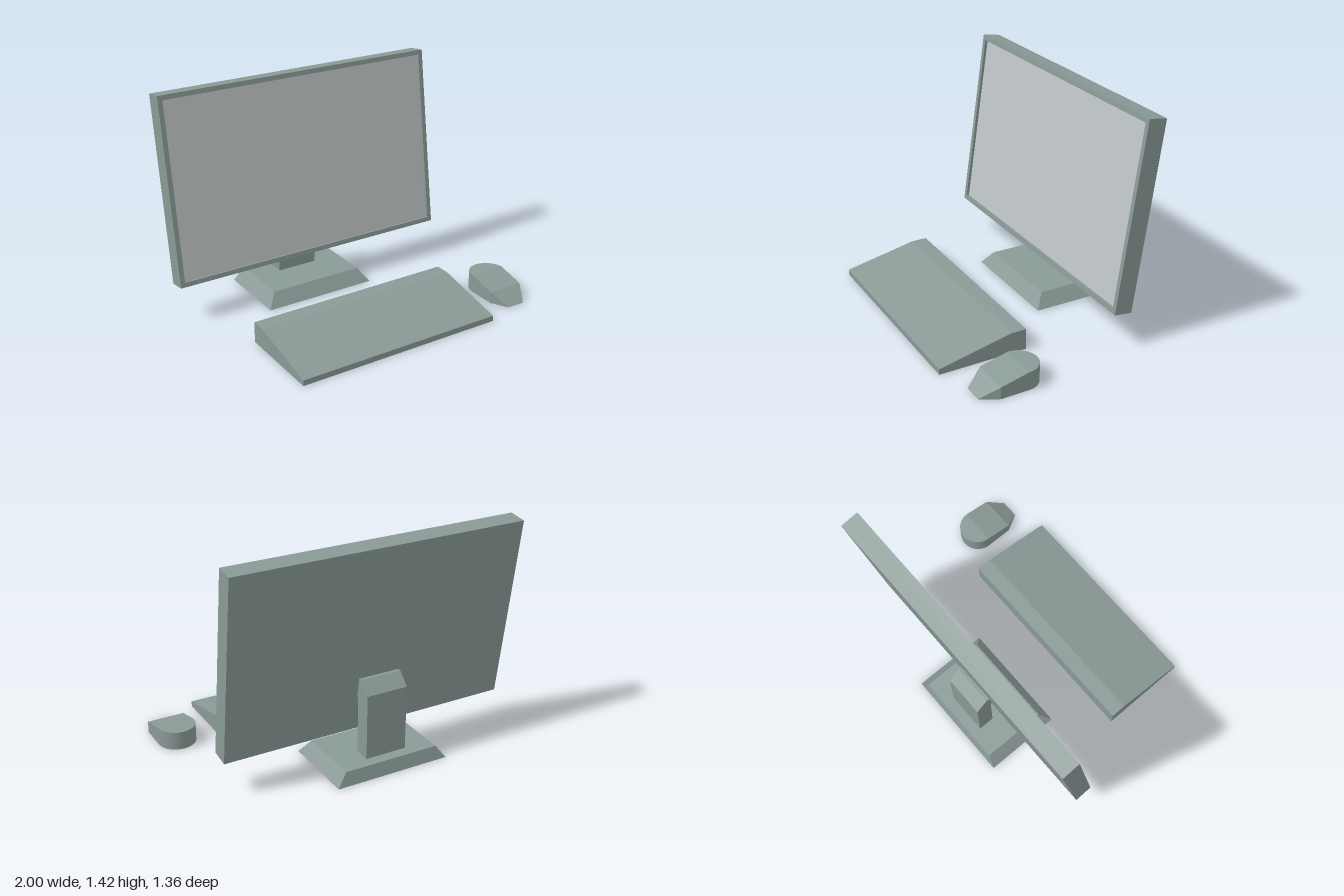
import * as THREE from 'three';

const bodyGrey = new THREE.MeshStandardMaterial({ color: 0x8a9a96 });
bodyGrey.name = 'body grey';
const screenGrey = new THREE.MeshStandardMaterial({ color: 0xc0c5c7 });
screenGrey.name = 'screen grey';

function part(name, geometry, material = bodyGrey) {
  const mesh = new THREE.Mesh(geometry, material);
  mesh.name = name;
  return mesh;
}

// Side profile of [z, y] points extruded across x0..x1
function sideExtrude(points, x0, x1) {
  const shape = new THREE.Shape(points.map(([z, y]) => new THREE.Vector2(z, y)));
  const g = new THREE.ExtrudeGeometry(shape, { depth: x1 - x0, bevelEnabled: false });
  return g.rotateY(-Math.PI / 2).translate(x1, 0, 0);
}

// Flat-faced solid through four-cornered rings, capped at both ends
function loft(rings) {
  const pos = [];
  const quad = (a, b, c, d) => pos.push(...a, ...b, ...c, ...a, ...c, ...d);
  for (let i = 0; i < rings.length - 1; i++) {
    for (let j = 0; j < 4; j++) {
      const k = (j + 1) % 4;
      quad(rings[i][j], rings[i][k], rings[i + 1][k], rings[i + 1][j]);
    }
  }
  quad(...[...rings[0]].reverse());
  quad(...rings[rings.length - 1]);
  const g = new THREE.BufferGeometry();
  g.setAttribute('position', new THREE.Float32BufferAttribute(pos, 3));
  g.computeVertexNormals();
  return g;
}

function createMonitor() {
  const w = 1.89, h = 1.191, depth = 0.118, rim = 0.03, recess = 0.018;
  const monitor = new THREE.Group();
  monitor.name = 'monitor';

  // Casing with a rectangular opening
  const rect = (Type, m) => new Type([
    new THREE.Vector2(-w / 2 + m, m), new THREE.Vector2(w / 2 - m, m),
    new THREE.Vector2(w / 2 - m, h - m), new THREE.Vector2(-w / 2 + m, h - m),
  ]);
  const outline = rect(THREE.Shape, 0);
  outline.holes.push(rect(THREE.Path, rim));
  const casing = new THREE.ExtrudeGeometry(outline, { depth, bevelEnabled: false });
  monitor.add(part('casing', casing.translate(0, 0, -depth)));

  // Back panel and recessed screen
  const back = new THREE.PlaneGeometry(w, h).rotateY(Math.PI);
  monitor.add(part('backPanel', back.translate(0, h / 2, -depth - 0.0005)));
  const screen = new THREE.PlaneGeometry(w - 2 * rim, h - 2 * rim);
  monitor.add(part('screen', screen.translate(0, h / 2, -recess), screenGrey));

  // Leans backward
  monitor.position.set(-0.055, 0.24, -0.327);
  monitor.rotation.x = -0.137;
  return monitor;
}

function createStand() {
  const stand = new THREE.Group();
  stand.name = 'stand';
  const ring = (x0, x1, z0, z1, y) => [[x0, y, z1], [x1, y, z1], [x1, y, z0], [x0, y, z0]];
  stand.add(part('standBase', loft([
    ring(-0.47, 0.28, -0.68, -0.18, 0),
    ring(-0.405, 0.22, -0.66, -0.24, 0.087),
  ])));
  stand.add(part('standNeck', sideExtrude([
    [-0.485, 0.08], [-0.485, 0.445], [-0.462, 0.445], [-0.475, 0.575],
    [-0.515, 0.575], [-0.59, 0.5], [-0.59, 0.08],
  ], -0.23, 0.04)));
  return stand;
}

function createMouse() {
  // Stations from the round back to the tapered nose: z, half width, height
  const stations = [];
  const r = 0.12, steps = 14;
  for (let i = 0; i <= steps; i++) {
    const a = (i / steps) * Math.PI / 2;
    stations.push([0.31 - r * Math.cos(a), r * Math.sin(a), 0.117]);
  }
  stations.push([0.49, r, 0.075], [0.6, 0.06, 0]);
  const cx = 0.88;
  return part('mouse', loft(stations.map(([z, w, h]) => [
    [cx - w, 0, z], [cx + w, 0, z], [cx + w, h, z], [cx - w, h, z],
  ])));
}

export function createModel() {
  const model = new THREE.Group();
  model.name = 'desktopComputer';
  model.add(createMonitor(), createStand(), createMouse());
  model.add(part('keyboard', sideExtrude([
    [0.68, 0], [0.68, 0.036], [0.21, 0.135], [0.11, 0.135], [0.11, 0],
  ], -0.735, 0.625)));
  return model;
}
